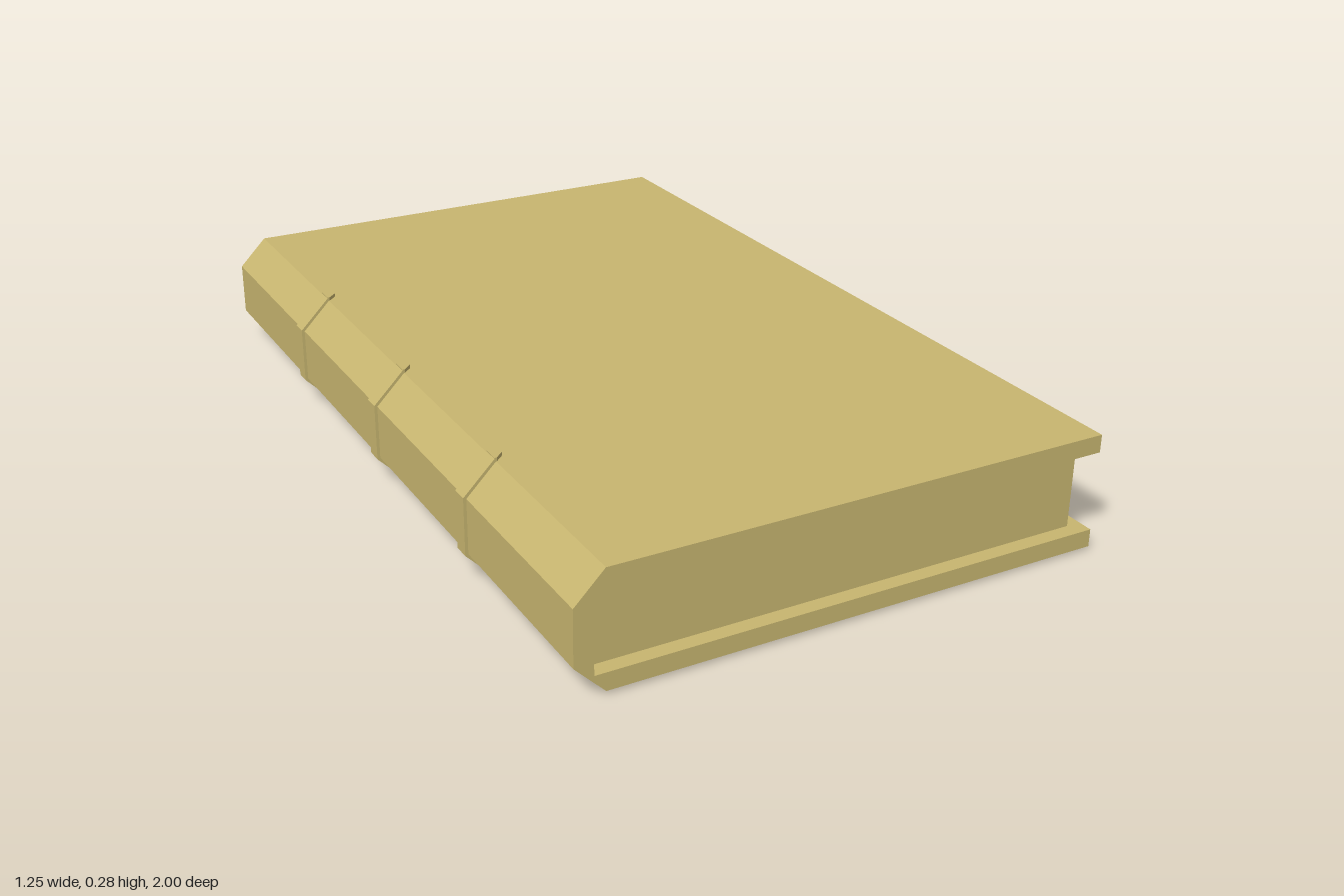
import * as THREE from 'three';

const MID = 0.1415; // height of the book's plane of symmetry
const material = new THREE.MeshStandardMaterial({ color: 0xc8b670, flatShading: true });

// Closed shape from the upper half of an outline, mirrored about the middle height
function mirroredShape(half) {
  const upper = half.map(([x, h]) => new THREE.Vector2(x, MID + h));
  const lower = half.map(([x, h]) => new THREE.Vector2(x, MID - h)).reverse();
  return new THREE.Shape([...upper, ...lower]);
}

function extrude(shape, depth) {
  return new THREE.ExtrudeGeometry(shape, { depth, bevelEnabled: false }).translate(0, 0, -depth / 2);
}

function addMesh(parent, name, geometry) {
  const mesh = new THREE.Mesh(geometry, material);
  mesh.name = name;
  parent.add(mesh);
  return mesh;
}

export function createModel() {
  const book = new THREE.Group();
  book.name = 'book';

  // Two boards joined by a spine with chamfered edges
  const cover = mirroredShape([
    [-0.618, 0.064], [-0.55, 0.133], [0.62, 0.133], [0.62, 0.092], [-0.575, 0.092],
  ]);
  // The mirrored outline is a C: upper half runs spine to inner wall, so reorder it
  const p = cover.getPoints().slice(0, 10);
  const outline = [...p.slice(0, 5), ...p.slice(5, 10)];
  addMesh(book, 'cover', extrude(new THREE.Shape(outline), 2));

  // Page block, set in from the boards on three sides
  const pages = addMesh(book, 'pages', new THREE.BoxGeometry(1.161, 0.184, 1.93));
  pages.position.set(0.0055, MID, 0);

  // Raised spine bands with pointed tips lying on both boards
  const bandShape = mirroredShape([
    [-0.61, 0.062], [-0.548, 0.125], [-0.548, 0.1395], [-0.553, 0.1395], [-0.625, 0.067],
  ]);
  // Outline order: inner side downwards, then outer side back up
  const b = bandShape.getPoints();
  const bandOutline = new THREE.Shape([b[0], b[1], b[2], b[3], b[4], b[5], b[6], b[7], b[8], b[9]]);
  const tipShape = new THREE.Shape([
    new THREE.Vector2(-0.553, -0.02), new THREE.Vector2(-0.548, -0.02),
    new THREE.Vector2(-0.527, 0), new THREE.Vector2(-0.548, 0.02), new THREE.Vector2(-0.553, 0.02),
  ]);
  for (const z of [-0.5, 0, 0.5]) {
    const band = new THREE.Group();
    band.name = 'spineBand';
    band.position.z = z;
    addMesh(band, 'bandStrap', extrude(bandOutline, 0.04));
    for (const side of [-1, 1]) {
      const tip = addMesh(band, 'bandTip', extrude(tipShape, 0.009).rotateX(Math.PI / 2));
      tip.position.y = MID + side * 0.137;
    }
    book.add(band);
  }
  return book;
}
